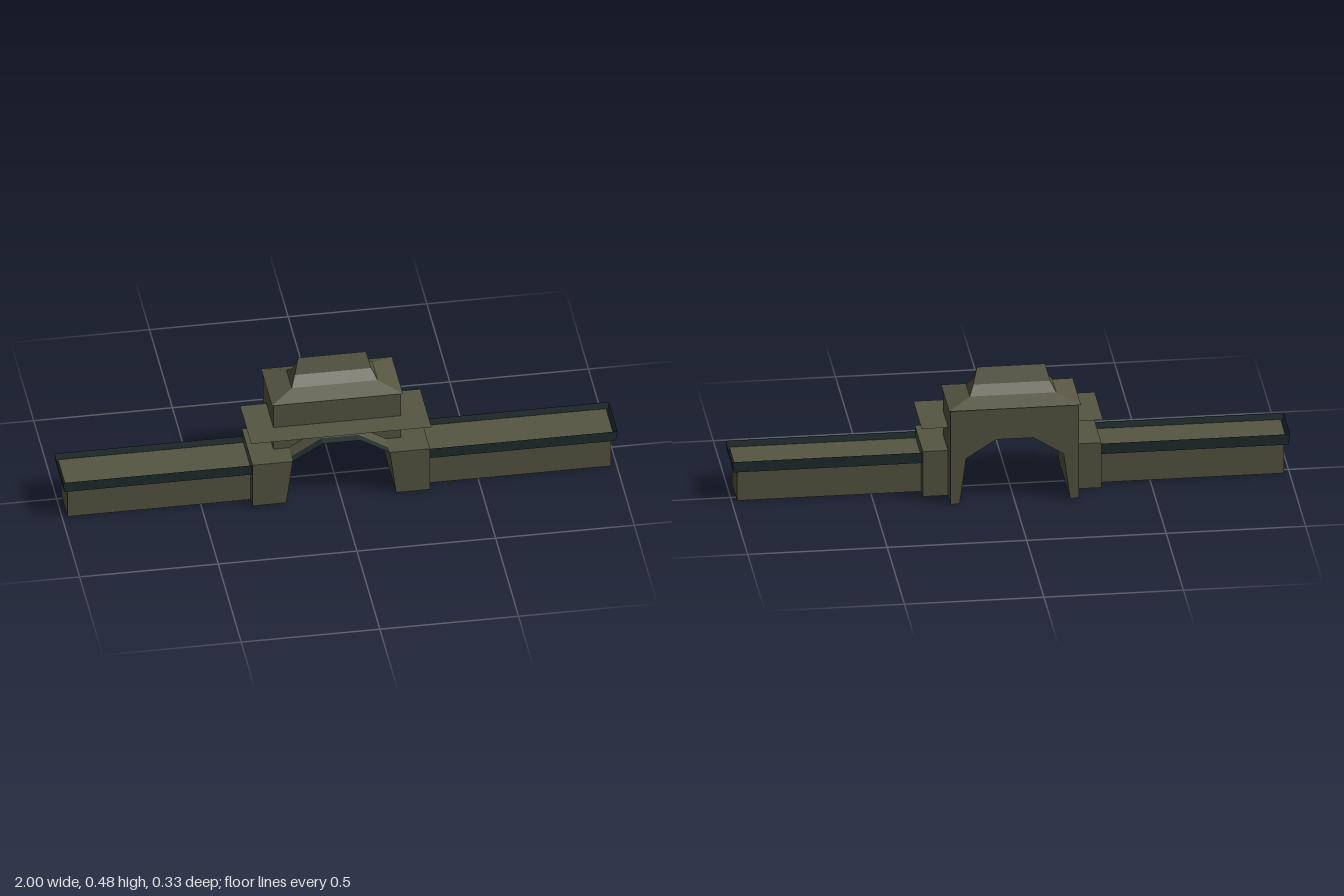
import * as THREE from 'three';

const stone = new THREE.MeshStandardMaterial({ color: 0x565643, side: THREE.DoubleSide });
stone.name = 'olive stone';
const trim = new THREE.MeshStandardMaterial({ color: 0x243133, side: THREE.DoubleSide });
trim.name = 'dark trim';

// Joins consecutive rows of points with flat quads
function skin(rows, closed) {
  const pos = [];
  for (let r = 0; r < rows.length - 1; r++) {
    const lo = rows[r], up = rows[r + 1], n = lo.length;
    for (let i = 0; i < (closed ? n : n - 1); i++) {
      const j = (i + 1) % n;
      for (const p of [lo[i], lo[j], up[j], lo[i], up[j], up[i]]) pos.push(...p);
    }
  }
  const g = new THREE.BufferGeometry();
  g.setAttribute('position', new THREE.Float32BufferAttribute(pos, 3));
  g.computeVertexNormals();
  return g;
}

// One rectangular ring of a roof or parapet
const ring = (y, x0, x1, z0, z1) => [[x0, y, z1], [x1, y, z1], [x1, y, z0], [x0, y, z0]];

// Upright slab with the given outline, between two depths
function slab(points, z0, z1) {
  const shape = new THREE.Shape(points.map(([x, y]) => new THREE.Vector2(x, y)));
  const g = new THREE.ExtrudeGeometry(shape, { depth: z1 - z0, bevelEnabled: false });
  return g.translate(0, 0, z0);
}

function box(x0, x1, y0, y1, z0, z1) {
  return new THREE.BoxGeometry(x1 - x0, y1 - y0, z1 - z0)
    .translate((x0 + x1) / 2, (y0 + y1) / 2, (z0 + z1) / 2);
}

export function createModel() {
  const group = new THREE.Group();
  const add = (name, geometry, material) => {
    const mesh = new THREE.Mesh(geometry, material);
    mesh.name = name;
    group.add(mesh);
  };

  // Gate tower with a faceted passage cut through it
  const arch = [[-0.175, 0.175], [-0.067, 0.244], [0.067, 0.244], [0.175, 0.175]];
  add('gateTower', slab([
    [-0.23, 0], [-0.198, 0], ...arch, [0.198, 0], [0.23, 0], [0.23, 0.365], [-0.23, 0.365],
  ], -0.156, 0.07), stone);

  // Concave hipped roof rising to a ridge
  add('towerRoof', skin([
    ring(0.365, -0.236, 0.236, -0.163, 0.074),
    ring(0.392, -0.155, 0.155, -0.102, 0.014),
    ring(0.422, -0.138, 0.138, -0.066, -0.022),
    ring(0.48, -0.122, 0.122, -0.044, -0.044),
  ], true), stone);

  // Thin canopy around the tower
  add('canopy', new THREE.PlaneGeometry(0.65, 0.244).rotateX(-Math.PI / 2)
    .translate(0, 0.268, 0.037), stone);

  // Vault in front of the tower, with a leaning dark edge band
  const row = (zLow, zHigh) => arch.map(([x, y]) => [x, y, y < 0.2 ? zLow : zHigh]);
  add('archVault', skin([row(0.07, 0.07), row(0.126, 0.13)], false), stone);
  add('archBand', skin([row(0.126, 0.13), row(0.157, 0.165)], false), trim);

  for (const s of [1, -1]) {
    const side = s > 0 ? 'left' : 'right';
    const span = (a, b) => (s > 0 ? [a, b] : [-b, -a]);

    // Pier beside the passage
    add(side + 'Pier', slab([
      [s * 0.198, 0], [s * 0.32, 0], [s * 0.32, 0.175], [s * 0.175, 0.175],
    ], -0.076, 0.158), stone);

    // Long wall with a walkway and flared parapet
    add(side + 'Wall', box(...span(0.3, 0.98), 0, 0.118, -0.03, 0.117), stone);
    add(side + 'Walkway', box(...span(0.3, 0.988), 0.118, 0.138, -0.043, 0.13), stone);
    add(side + 'Parapet', skin([
      ring(0.117, ...span(0.3, 0.994), -0.045, 0.132),
      ring(0.16, ...span(0.3, 1.0), -0.051, 0.137),
    ], true), trim);
  }
  return group;
}
